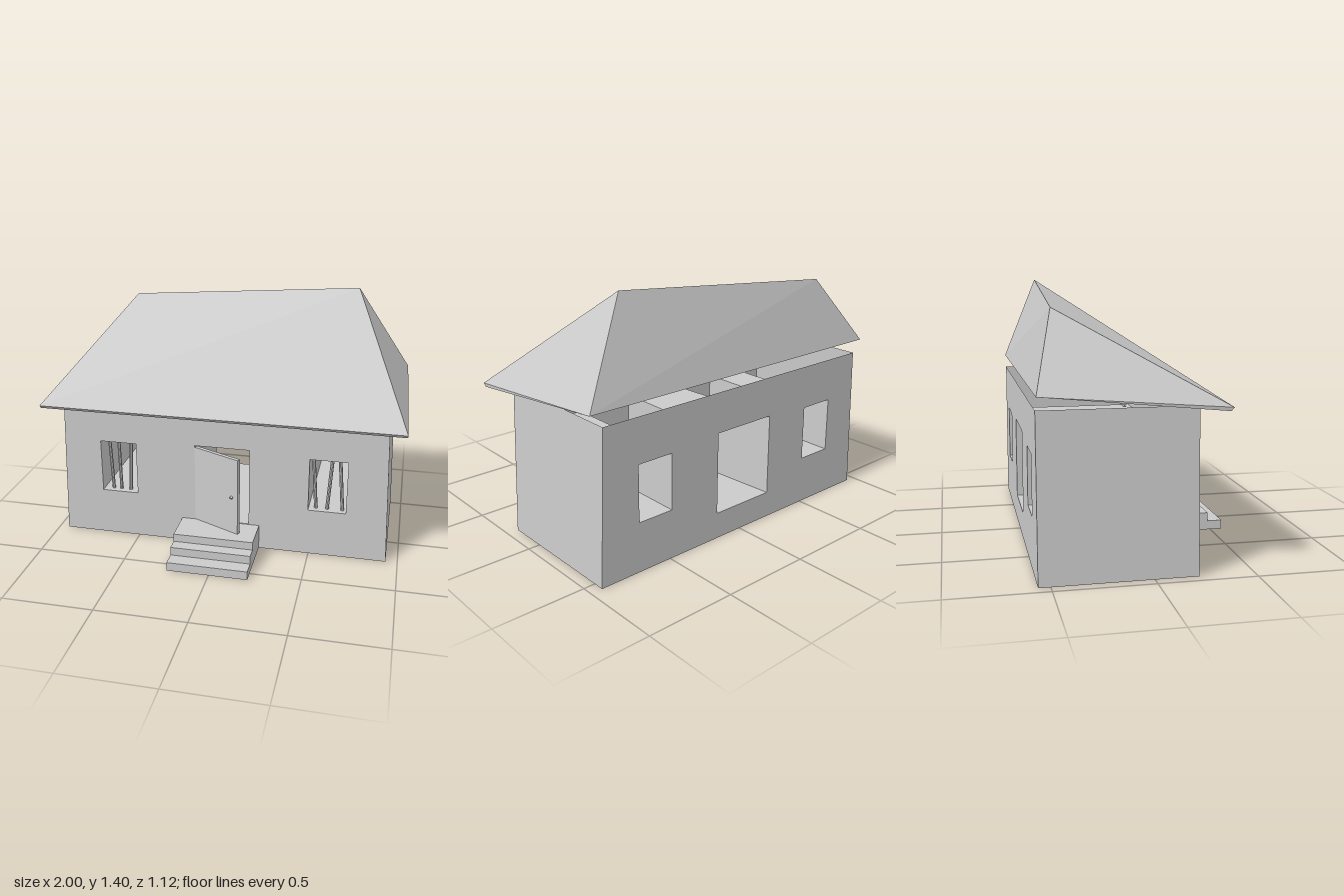
import * as THREE from 'three';
import { ConvexGeometry } from 'three/addons/geometries/ConvexGeometry.js';

const solid = new THREE.MeshStandardMaterial({ color: 0xcccccc, flatShading: true });
const thin = new THREE.MeshStandardMaterial({ color: 0xcccccc, flatShading: true, side: THREE.DoubleSide });

const FRONT = 0.22, BACK = -0.56;

function add(parent, name, geometry, material = solid) {
  const mesh = new THREE.Mesh(geometry, material);
  mesh.name = name;
  parent.add(mesh);
  return mesh;
}

// Corner loop of an upright rectangle, counter-clockwise
const rect = (x0, x1, y0, y1) => [[x0, y0], [x1, y0], [x1, y1], [x0, y1]];

// Strip of quads joining a front loop to a back loop; skip leaves one side open
function sleeve(front, back, skip = -1) {
  const pos = [];
  front.forEach((a, i) => {
    if (i === skip) return;
    const j = (i + 1) % front.length;
    const A = [...a, FRONT], B = [...front[j], FRONT];
    const C = [...back[j], BACK], D = [...back[i], BACK];
    pos.push(...A, ...D, ...C, ...A, ...C, ...B);
  });
  const g = new THREE.BufferGeometry();
  g.setAttribute('position', new THREE.Float32BufferAttribute(pos, 3));
  g.computeVertexNormals();
  return g;
}

// Flat wall with openings
function wall(outline, holes, z) {
  const toPoints = (loop) => loop.map(([x, y]) => new THREE.Vector2(x, y));
  const shape = new THREE.Shape(toPoints(outline));
  holes.forEach((h) => shape.holes.push(new THREE.Path(toPoints(h))));
  return new THREE.ShapeGeometry(shape).translate(0, 0, z);
}

export function createModel() {
  const house = new THREE.Group();
  house.name = 'house';

  // Walls: tapered shell, open under the roof, with openings running through
  const walls = new THREE.Group();
  walls.name = 'walls';
  house.add(walls);
  const outline = [[-0.945, 0], [0.935, 0], [0.905, 0.83], [-0.915, 0.83]];
  const windows = [rect(-0.71, -0.5, 0.275, 0.585), rect(0.49, 0.7, 0.275, 0.585)];
  const frontHoles = [...windows, rect(-0.155, 0.155, 0.148, 0.607)];
  const backHoles = [...windows, rect(-0.213, 0.172, 0.148, 0.607)];
  add(walls, 'frontWall', wall(outline, frontHoles, FRONT), thin);
  add(walls, 'backWall', wall(outline, backHoles, BACK), thin);
  add(walls, 'sideWallsAndFloor', sleeve(outline, outline, 2), thin);
  ['rightWindowReveal', 'leftWindowReveal', 'doorReveal'].forEach((name, i) =>
    add(walls, name, sleeve(frontHoles[i], backHoles[i]), thin));

  // Lopsided hipped roof
  const roofPoints = [[-0.67, 1.285, -0.455], [0.67, 1.4, -0.39]];
  for (const s of [-1, 1]) {
    roofPoints.push([s, 0.83, 0.36], [s * 0.998, 0.812, 0.345], [s * 0.975, 0.9, -0.56]);
  }
  add(house, 'roof', new ConvexGeometry(roofPoints.map((p) => new THREE.Vector3(...p))));

  // Front steps
  const profile = [[0.22, 0], [0.565, 0], [0.565, 0.05], [0.483, 0.05], [0.483, 0.098],
    [0.415, 0.098], [0.415, 0.144], [0.22, 0.144]];
  const steps = new THREE.ExtrudeGeometry(
    new THREE.Shape(profile.map(([z, y]) => new THREE.Vector2(z, y))),
    { depth: 0.45, bevelEnabled: false });
  steps.rotateY(-Math.PI / 2).translate(0.215, 0, 0);
  add(house, 'steps', steps);

  // Door standing ajar, hinged on its right edge
  const door = new THREE.Group();
  door.name = 'door';
  door.position.set(-0.155, 0.148, 0.225);
  door.rotation.y = -Math.atan2(0.125, 0.27);
  house.add(door);
  add(door, 'doorLeaf', new THREE.BoxGeometry(0.298, 0.452, 0.022).translate(0.149, 0.226, -0.011));
  for (const z of [0.008, -0.03]) {
    add(door, 'doorKnob', new THREE.SphereGeometry(0.009, 10, 8)).position.set(0.262, 0.222, z);
  }

  // Crooked window bars: x at the bottom and at the top
  const bars = [[-0.658, -0.67], [-0.611, -0.615], [-0.555, -0.54],
    [0.53, 0.508], [0.592, 0.612], [0.678, 0.653]];
  for (const [x0, x1] of bars) {
    const bottom = new THREE.Vector3(x0, 0.272, 0.18), top = new THREE.Vector3(x1, 0.588, 0.18);
    const bar = add(house, 'windowBar', new THREE.CylinderGeometry(0.01, 0.01, bottom.distanceTo(top), 8));
    bar.position.lerpVectors(bottom, top, 0.5);
    bar.quaternion.setFromUnitVectors(new THREE.Vector3(0, 1, 0), top.clone().sub(bottom).normalize());
  }

  return house;
}
